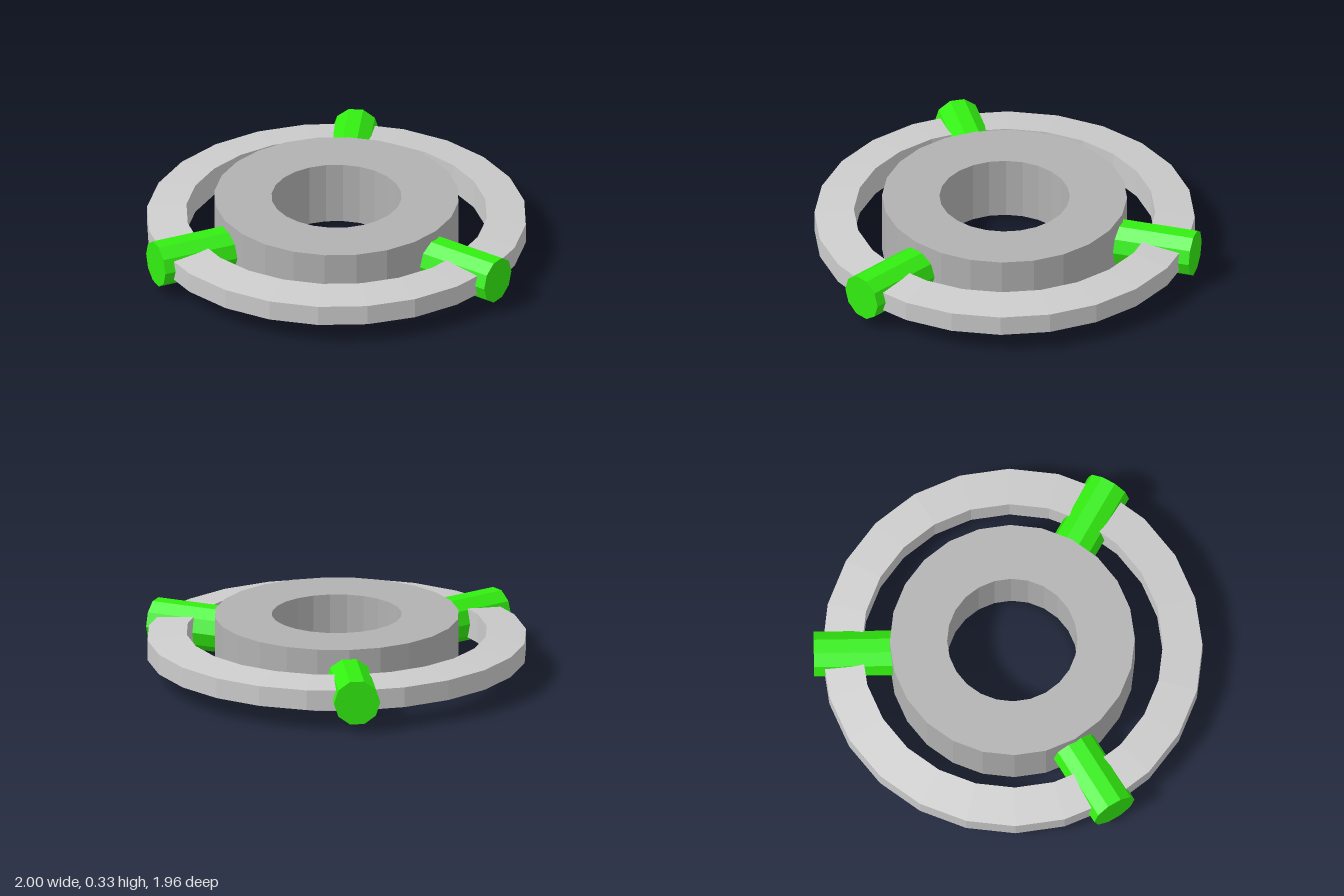
import * as THREE from 'three';

const CENTER_X = -0.02;
const MID_Y = 0.165;

const material = (color) => new THREE.MeshStandardMaterial({ color, flatShading: true });

// Closed four-point section turned around y; half heights may differ at the two rims
function ring(name, inner, outer, innerHalf, outerHalf, mat) {
  const profile = [
    [outer, -outerHalf], [outer, outerHalf], [inner, innerHalf], [inner, -innerHalf], [outer, -outerHalf],
  ].map(([r, y]) => new THREE.Vector2(r, y));
  const mesh = new THREE.Mesh(new THREE.LatheGeometry(profile, 24), mat);
  mesh.name = name;
  return mesh;
}

export function createModel() {
  const model = new THREE.Group();
  model.name = 'handwheel';

  const wheel = new THREE.Group();
  wheel.name = 'wheel';
  wheel.position.set(CENTER_X, MID_Y, 0);
  model.add(wheel);

  // Thick hub with a bore, and a thin rim tapering outwards
  wheel.add(ring('hub', 0.335, 0.63, 0.165, 0.165, material(0xb2b2b2)));
  wheel.add(ring('rim', 0.775, 0.978, 0.077, 0.053, material(0xcccccc)));

  // Three ten-sided spokes from inside the hub to just past the rim
  const start = 0.5, end = 1.02;
  const spokeGeometry = new THREE.CylinderGeometry(0.12, 0.12, end - start, 10);
  spokeGeometry.rotateZ(-Math.PI / 2);
  spokeGeometry.translate((start + end) / 2, 0, 0);
  const green = material(0x33ee11);
  for (let i = 0; i < 3; i++) {
    const spoke = new THREE.Mesh(spokeGeometry, green);
    spoke.name = `spoke${i + 1}`;
    spoke.rotation.y = (i * Math.PI * 2) / 3;
    wheel.add(spoke);
  }

  return model;
}
